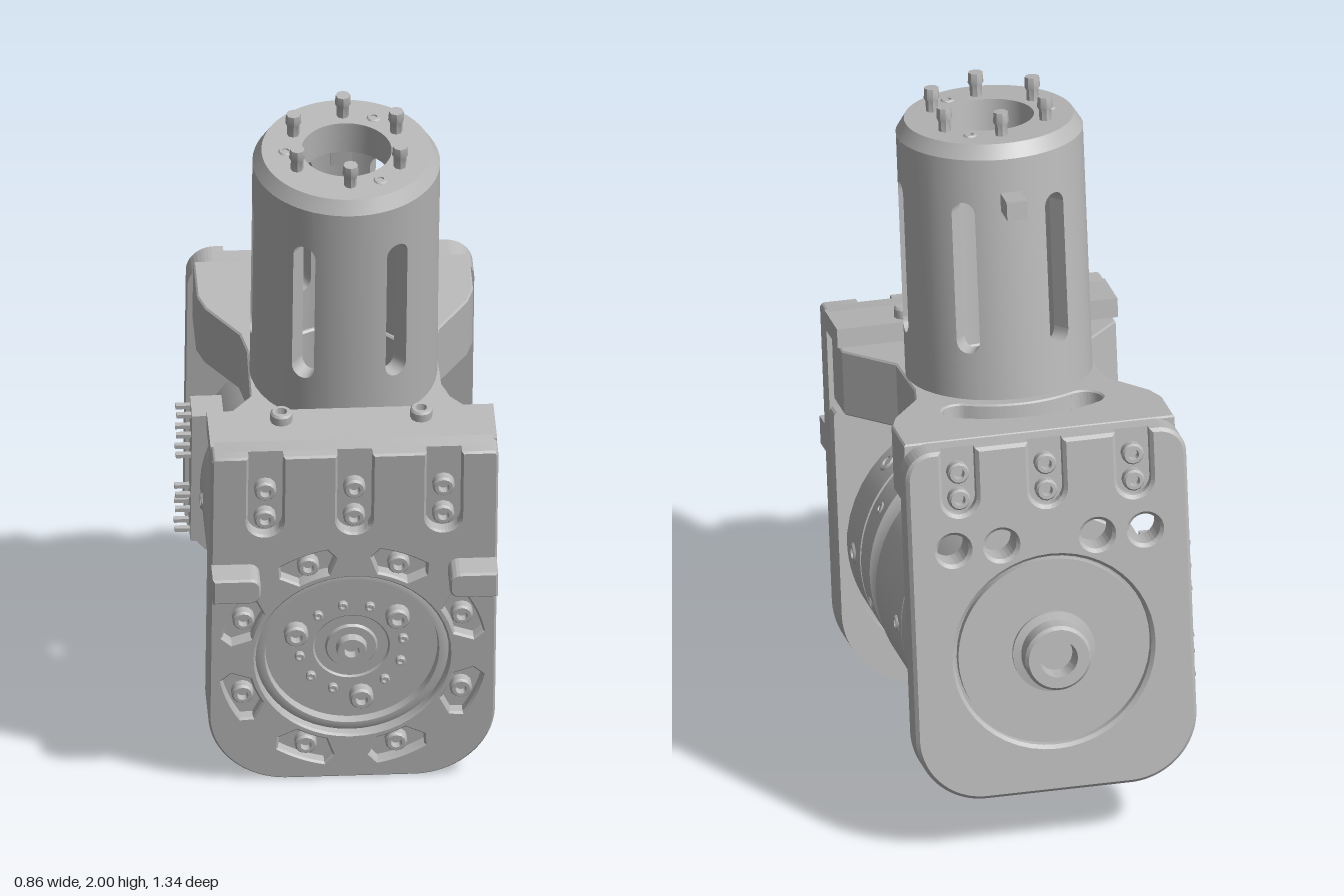
import * as THREE from 'three';
import { toCreasedNormals } from 'three/addons/utils/BufferGeometryUtils.js';

const CX = 0.018, TILT = Math.PI / 18; // sideways offset and lean of the whole joint
const AXIS_Y = 0.507, TUBE_Z = -0.06;  // motor axis height, tube axis depth
const SLOTS = [0.255, 0, -0.255];
const rad = THREE.MathUtils.degToRad;

export function createModel() {
  const model = new THREE.Group();
  model.name = 'robotJoint';
  const joint = new THREE.Group();
  joint.name = 'tiltedJoint';
  joint.rotation.x = TILT;
  joint.position.x = CX;
  model.add(joint);
  const grey = new THREE.MeshStandardMaterial({ color: 0xb8b8b8, side: THREE.DoubleSide });
  grey.name = 'machined grey';

  const add = (name, geo, x = 0, y = 0, z = 0) => {
    const m = new THREE.Mesh(toCreasedNormals(geo, 0.55), grey);
    m.name = name;
    m.position.set(x, y, z);
    joint.add(m);
    return m;
  };
  const box = (name, w, h, d, x, y, z) => add(name, new THREE.BoxGeometry(w, h, d), x, y, z);
  const lathe = (pts, n = 64) => new THREE.LatheGeometry(pts.map(p => new THREE.Vector2(...p)), n);
  const alongZ = (pts, n) => lathe(pts, n).rotateX(Math.PI / 2);
  const extrude = (shape, depth, bevel = 0) => new THREE.ExtrudeGeometry(shape, {
    depth: depth - 2 * bevel, curveSegments: 24, bevelEnabled: bevel > 0, bevelSegments: 1,
    bevelSize: bevel, bevelThickness: bevel, bevelOffset: -bevel,
  }).translate(0, 0, bevel);
  const circle = (x, y, r) => new THREE.Path().absarc(x, y, r, 0, Math.PI * 2, false);

  // Socket-head screw pointing along a direction
  const up = new THREE.Vector3(0, 1, 0);
  const screw = (x, y, z, dir, s = 1) => {
    const pts = [[0.029, -0.01], [0.029, 0.022], [0.024, 0.028], [0.015, 0.028], [0.013, 0.01], [0, 0.01]];
    add('screw', lathe(pts.map(p => [p[0] * s, p[1] * s]), 12), x, y, z)
      .quaternion.setFromUnitVectors(up, new THREE.Vector3(...dir));
  };

  // Plate outline with rounded corners and open U-slots along the top edge
  const plate = (y0, y1, rb, rt, slotBottom) => {
    const s = new THREE.Shape(), h = 0.41, w = 0.05;
    s.moveTo(-h + rb, y0).lineTo(h - rb, y0);
    s.absarc(h - rb, y0 + rb, rb, -Math.PI / 2, 0, false);
    s.absarc(h - rt, y1 - rt, rt, 0, Math.PI / 2, false);
    if (slotBottom) for (const x of SLOTS) {
      s.lineTo(x + w, y1);
      s.absarc(x, slotBottom + w, w, 0, Math.PI, true);
      s.lineTo(x - w, y1);
    }
    s.absarc(-h + rt, y1 - rt, rt, Math.PI / 2, Math.PI, false);
    s.absarc(-h + rb, y0 + rb, rb, Math.PI, Math.PI * 1.5, false);
    return s;
  };

  // Front plate: rim around the motor, backing slab, pocketed face, top flange
  const rim = plate(0.082, 0.926, 0.23, 0.015);
  rim.holes.push(circle(0, AXIS_Y, 0.388));
  add('frontRim', extrude(rim, 0.06), 0, 0, 0.315);
  const slab = plate(0.082, 1.214, 0.23, 0.015);
  slab.holes.push(circle(0, AXIS_Y, 0.277));
  add('frontSlab', extrude(slab, 0.05), 0, 0, 0.37);
  const face = plate(0.082, 1.214, 0.23, 0.015, 0.94);
  face.holes.push(circle(0, AXIS_Y, 0.277));
  for (let k = 0; k < 8; k++) {
    const a = rad(22.5 + 45 * k), p = new THREE.Path();
    p.absarc(0, AXIS_Y, 0.38, a - 0.19, a + 0.19, false);
    p.absarc(0, AXIS_Y, 0.35, a + 0.24, a + 0.24, false);
    p.absarc(0, AXIS_Y, 0.3, a + 0.15, a - 0.15, true);
    p.absarc(0, AXIS_Y, 0.35, a - 0.24, a - 0.24, false);
    p.closePath();
    face.holes.push(p);
    screw(0.338 * Math.cos(a), AXIS_Y + 0.338 * Math.sin(a), 0.42, [0, 0, 1], 1.1);
  }
  add('frontFace', extrude(face, 0.046, 0.006), 0, 0, 0.408);
  box('frontFlange', 0.82, 0.057, 0.17, 0, 1.185, 0.305);
  for (const s of [-1, 1]) {
    screw(s * 0.2, 1.214, 0.27, [0, 1, 0], 1.1);
    // Stop tab on each side of the face
    const tab = new THREE.Shape();
    tab.moveTo(0.408, -0.042).lineTo(0.408, 0.042).lineTo(0.3, 0.042);
    tab.absarc(0.3, 0.012, 0.03, Math.PI / 2, Math.PI, false);
    tab.absarc(0.3, -0.012, 0.03, Math.PI, Math.PI * 1.5, false);
    add('stopTab', extrude(tab, 0.104, 0.006), 0, 0.8, 0.43).rotation.z = s < 0 ? Math.PI : 0;
  }
  for (const x of SLOTS) for (const y of [1.09, 0.992]) screw(x, y, 0.42, [0, 0, 1], 1.1);

  // Output disc sunk in the front opening
  add('outputDisc', alongZ([[0.277, 0.38], [0.277, 0.425], [0.264, 0.43], [0.25, 0.43], [0.246, 0.405],
    [0.11, 0.405], [0.105, 0.4], [0.075, 0.4], [0.07, 0.408], [0.045, 0.408], [0.04, 0.43],
    [0.022, 0.43], [0.02, 0.405], [0, 0.405]]), 0, AXIS_Y, 0);
  for (let k = 0; k < 12; k++) {
    const a = rad(40 + 30 * k), r = k % 4 ? 0.15 : 0.17;
    screw(r * Math.cos(a), AXIS_Y + r * Math.sin(a), 0.405, [0, 0, 1], k % 4 ? 0.5 : 1.2);
  }

  // Motor body with waist and seams
  add('motorBody', alongZ([[0, -0.6], [0.25, -0.6], [0.25, -0.57], [0.375, -0.57], [0.38, -0.565],
    [0.38, -0.383], [0.378, -0.381], [0.378, -0.377], [0.38, -0.375], [0.38, -0.04], [0.348, -0.03],
    [0.338, 0.0], [0.341, 0.025], [0.362, 0.06], [0.374, 0.07], [0.375, 0.18], [0.366, 0.183],
    [0.366, 0.192], [0.375, 0.195], [0.375, 0.38], [0, 0.38]], 96), 0, AXIS_Y, 0);
  const ring = (n, offset, r, z, size) => {
    for (let k = 0; k < n; k++) {
      const a = rad(offset + 360 / n * k), c = Math.cos(a), s = Math.sin(a);
      screw(r * c, AXIS_Y + r * s, z, [c, s, 0], size);
    }
  };
  ring(8, 30, 0.36, 0.122, 0.65);
  ring(6, 0, 0.362, -0.318, 0.85);
  ring(8, 0, 0.35, 0.28, 1.1);

  // Cable connector on the side of the motor
  box('connector', 0.09, 0.44, 0.1, -0.36, 0.52, -0.46);
  for (const y of [0.32, 0.39, 0.44, 0.58, 0.65, 0.72])
    for (const z of [-0.49, -0.445]) box('connectorPin', 0.05, 0.012, 0.016, -0.423, y, z);

  // Back plate with slots, holes, round insert and hub
  const back = slot => {
    const s = plate(0.08, 1.147, 0.2, 0.08, slot);
    for (const x of [-0.28, -0.14, 0.14, 0.28]) s.holes.push(circle(x, 0.845, 0.045));
    return s;
  };
  add('backSlab', extrude(back(), 0.055), 0, 0, -0.65);
  const backFace = back(0.95);
  backFace.holes.push(circle(0, AXIS_Y, 0.287));
  add('backFace', extrude(backFace, 0.045, 0.01), 0, 0, -0.683);
  add('backHub', alongZ([[0, -0.7], [0.05, -0.7], [0.055, -0.752], [0.088, -0.752], [0.097, -0.742],
    [0.097, -0.69], [0.12, -0.685], [0.12, -0.675], [0.277, -0.675], [0.277, -0.64]]), 0, AXIS_Y, 0);
  for (const x of SLOTS) for (const y of [1.075, 0.995]) screw(x, y, -0.65, [0, 0, -1], 1.1);

  // Hourglass bracket joining the plates under the tube (shape y runs backwards)
  const half = [[0.4, -0.345], [0.4, -0.21], [0.275, -0.06], [0.27, 0.16], [0.285, 0.24],
    [0.375, 0.37], [0.395, 0.43], [0.395, 0.6]];
  const mirror = half.map(([x, y]) => [-x, y]).reverse();
  const bracket = new THREE.Shape([...half, ...mirror].map(p => new THREE.Vector2(...p)));
  bracket.holes.push(circle(0, -TUBE_Z, 0.205));
  const kidney = new THREE.Path(), lobeX = 0.18, lobeY = 0.312 - TUBE_Z; // round-ended arc slot
  kidney.absarc(0, -TUBE_Z, 0.414, rad(60), rad(120), false);
  kidney.absarc(-lobeX, lobeY, 0.054, rad(120), rad(300), false);
  kidney.absarc(0, -TUBE_Z, 0.306, rad(120), rad(60), true);
  kidney.absarc(lobeX, lobeY, 0.054, rad(240), rad(420), false);
  bracket.holes.push(kidney);
  add('bracket', extrude(bracket, 0.195, 0.005).rotateX(-Math.PI / 2), 0, 0.955, 0);

  // Slotted tube
  add('slottedTube', slottedWall(0.268, 0.215, 1.1, 1.88, 1.325, 1.715, 0.035), 0, 0, TUBE_Z);
  add('tubeCap', lathe([[0.215, 1.82], [0.129, 1.82], [0.129, 1.92], [0.243, 1.92], [0.268, 1.88]]), 0, 0, TUBE_Z);
  box('tubeTab', 0.06, 0.055, 0.16, 0, 1.752, -0.332);
  for (let k = 0; k < 6; k++) {
    const a = rad(30 + 60 * k);
    add('capPin', lathe([[0.018, 1.9], [0.018, 1.95], [0.023, 1.96], [0.021, 1.99], [0, 1.99]], 8),
      0.17 * Math.cos(a), 0, TUBE_Z + 0.17 * Math.sin(a));
  }
  for (const deg of [-60, 60, 180]) {
    const a = rad(deg);
    screw(0.175 * Math.cos(a), 1.905, TUBE_Z + 0.175 * Math.sin(a), [0, 1, 0], 0.7);
  }
  return model;
}

// Hollow cylinder wall with six round-ended slots, built column by column
function slottedWall(R, r, y0, y1, s0, s1, w) {
  const pos = [], a = Math.asin(w / R), h = Math.PI / 6;
  const P = (t, q, y) => [q * Math.cos(t), y, q * Math.sin(t)];
  const quad = (A, B, C, D) => pos.push(...A, ...B, ...C, ...A, ...C, ...D);
  const piece = (t, u, lo, lo2, hi, hi2) => {
    quad(P(t, R, lo), P(t, R, hi), P(u, R, hi2), P(u, R, lo2));
    quad(P(t, r, lo), P(u, r, lo2), P(u, r, hi2), P(t, r, hi));
    quad(P(t, R, hi), P(t, r, hi), P(u, r, hi2), P(u, R, hi2));
    quad(P(t, R, lo), P(u, R, lo2), P(u, r, lo2), P(t, r, lo));
  };
  for (let k = 0; k < 6; k++) {
    const c = k * Math.PI / 3;
    for (let i = 0; i < 5; i++) {
      const t = a + (2 * h - 2 * a) * i / 5, u = a + (2 * h - 2 * a) * (i + 1) / 5;
      piece(c + t, c + u, y0, y0, y1, y1);
    }
    for (let i = 0; i < 10; i++) {
      const f = Math.PI * i / 10, g = Math.PI * (i + 1) / 10;
      const t = c - a * Math.cos(f), u = c - a * Math.cos(g), d = w * Math.sin(f), e = w * Math.sin(g);
      piece(t, u, y0, y0, s0 - d, s0 - e);
      piece(t, u, s1 + d, s1 + e, y1, y1);
    }
    quad(P(c - a, R, s0), P(c - a, r, s0), P(c - a, r, s1), P(c - a, R, s1));
    quad(P(c + a, R, s0), P(c + a, R, s1), P(c + a, r, s1), P(c + a, r, s0));
  }
  const geo = new THREE.BufferGeometry();
  geo.setAttribute('position', new THREE.Float32BufferAttribute(pos, 3));
  return geo;
}
